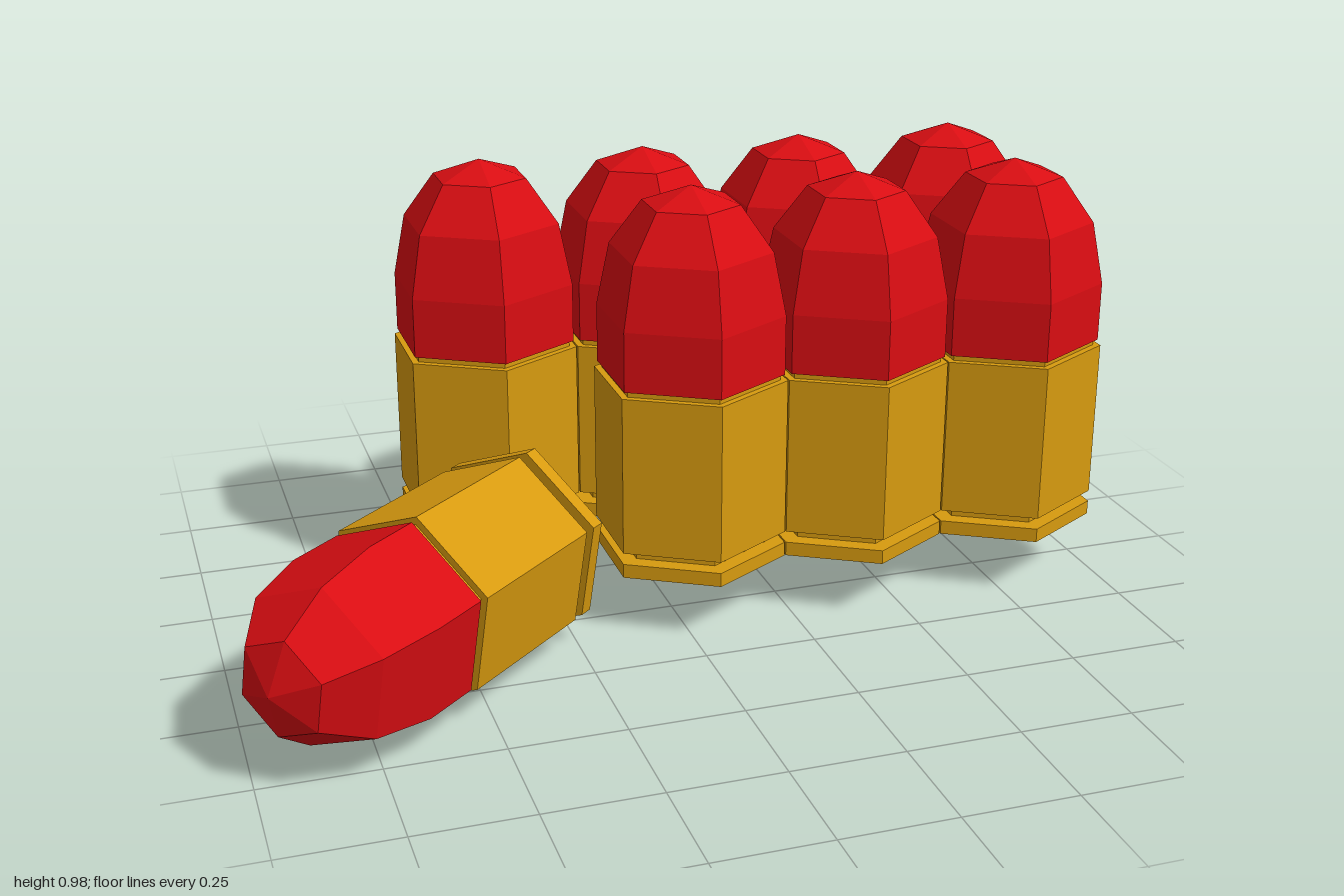
import * as THREE from 'three';

const brass = new THREE.MeshStandardMaterial({ color: 0xd79a0f, flatShading: true });
const red = new THREE.MeshStandardMaterial({ color: 0xd90d12, flatShading: true });

// Six-sided turned solid with a corner facing +z
function hexLathe(profile) {
  return new THREE.LatheGeometry(profile.map(([r, y]) => new THREE.Vector2(r, y)), 6);
}

// Rim, extractor groove, body and narrow neck
const caseGeometry = hexLathe([
  [0, 0], [0.217, 0], [0.217, 0.032], [0.176, 0.032], [0.176, 0.058],
  [0.217, 0.058], [0.217, 0.418], [0.2, 0.418], [0.2, 0.433], [0, 0.433],
]);

// Rounded tip
const tipGeometry = hexLathe([
  [0, 0.431], [0.21, 0.431], [0.21, 0.565], [0.181, 0.705], [0.108, 0.805], [0, 0.843],
]);

function createCartridge(name) {
  const group = new THREE.Group();
  group.name = name;
  const casing = new THREE.Mesh(caseGeometry, brass);
  casing.name = 'casing';
  const tip = new THREE.Mesh(tipGeometry, red);
  tip.name = 'tip';
  group.add(casing, tip);
  return group;
}

export function createModel() {
  const model = new THREE.Group();
  model.name = 'cartridges';

  // Upright rows: four at the back, three in front
  const rows = [
    { name: 'backCartridge', z: -0.374, first: 0 },
    { name: 'frontCartridge', z: -0.021, first: 1 },
  ];
  for (const { name, z, first } of rows) {
    for (let i = first; i < 4; i++) {
      const cartridge = createCartridge(name + (i - first + 1));
      cartridge.position.set(-0.329 + i * 0.379, 0.135, z);
      model.add(cartridge);
    }
  }

  // Fallen cartridge, pointing to the front right and rolled slightly
  const fallen = createCartridge('fallenCartridge');
  const axis = new THREE.Vector3(-0.749, 0, 0.663).normalize();
  const side = new THREE.Vector3(0.663, 0, 0.749).normalize();
  const roll = THREE.MathUtils.degToRad(81);
  const corner = side.multiplyScalar(Math.cos(roll));
  corner.y = Math.sin(roll);
  const across = new THREE.Vector3().crossVectors(axis, corner);
  fallen.quaternion.setFromRotationMatrix(new THREE.Matrix4().makeBasis(across, axis, corner));
  fallen.position.set(-0.333, 0.217, -0.018);
  model.add(fallen);

  return model;
}
